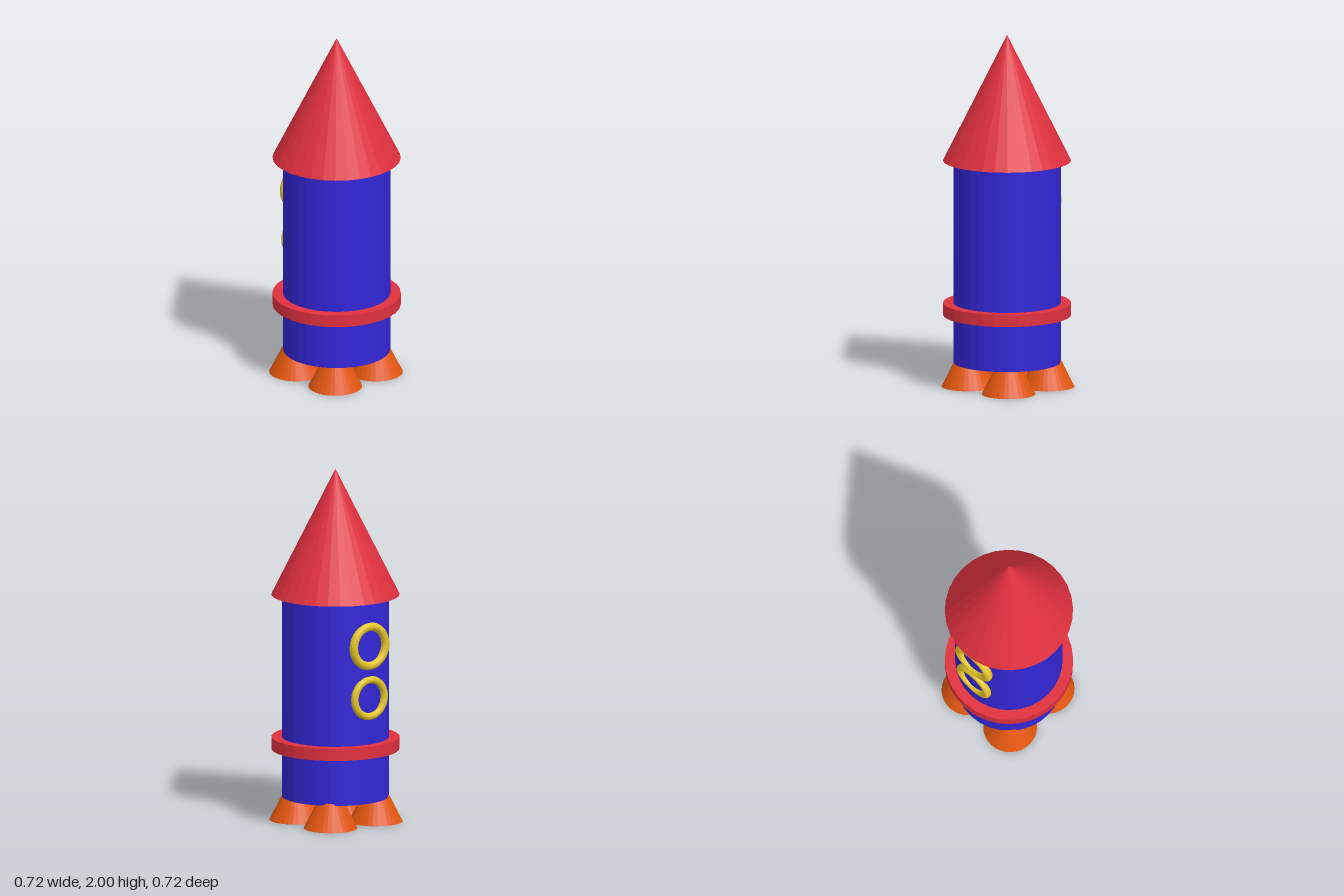
import * as THREE from 'three';

const SIDES = 32;

export function createModel() {
  const rocket = new THREE.Group();
  rocket.name = 'rocket';

  const paint = (color, flatShading) => {
    const material = new THREE.MeshStandardMaterial({ flatShading });
    material.color.set(color);
    return material;
  };
  const red = paint(0xe0303e, true);
  const blue = paint(0x3326d6, true);
  const orange = paint(0xe2560f, true);
  const yellow = paint(0xe3c42a, false);

  const add = (name, geometry, material, x, y, z) => {
    const mesh = new THREE.Mesh(geometry, material);
    mesh.name = name;
    mesh.position.set(x, y, z);
    rocket.add(mesh);
  };
  // Upright cylinder or cone between two heights
  const turned = (name, material, rTop, rBottom, y0, y1, x = 0, z = 0) => {
    const geometry = rTop > 0
      ? new THREE.CylinderGeometry(rTop, rBottom, y1 - y0, SIDES)
      : new THREE.ConeGeometry(rBottom, y1 - y0, SIDES);
    add(name, geometry, material, x, (y0 + y1) / 2, z);
  };

  // Hull, nose and collar
  turned('body', blue, 0.3, 0.3, 0.14, 1.288);
  turned('noseCone', red, 0, 0.358, 1.286, 2);
  turned('collar', red, 0.358, 0.358, 0.408, 0.477);

  // Four cone nozzles, their tips sunk into the hull
  const nozzles = [
    ['frontLeftNozzle', 0.16, 0.15],
    ['frontRightNozzle', -0.155, 0.15],
    ['backLeftNozzle', 0.16, -0.16],
    ['backRightNozzle', -0.16, -0.16],
  ];
  for (const [name, x, z] of nozzles) turned(name, orange, 0, 0.15, 0, 0.3, x, z);

  // Porthole rims on the back of the hull
  add('upperPortholeRim', new THREE.TorusGeometry(0.111, 0.024, 16, 48), yellow, -0.01, 1.035, -0.296);
  add('lowerPortholeRim', new THREE.TorusGeometry(0.104, 0.021, 16, 48), yellow, -0.01, 0.74, -0.296);

  return rocket;
}
